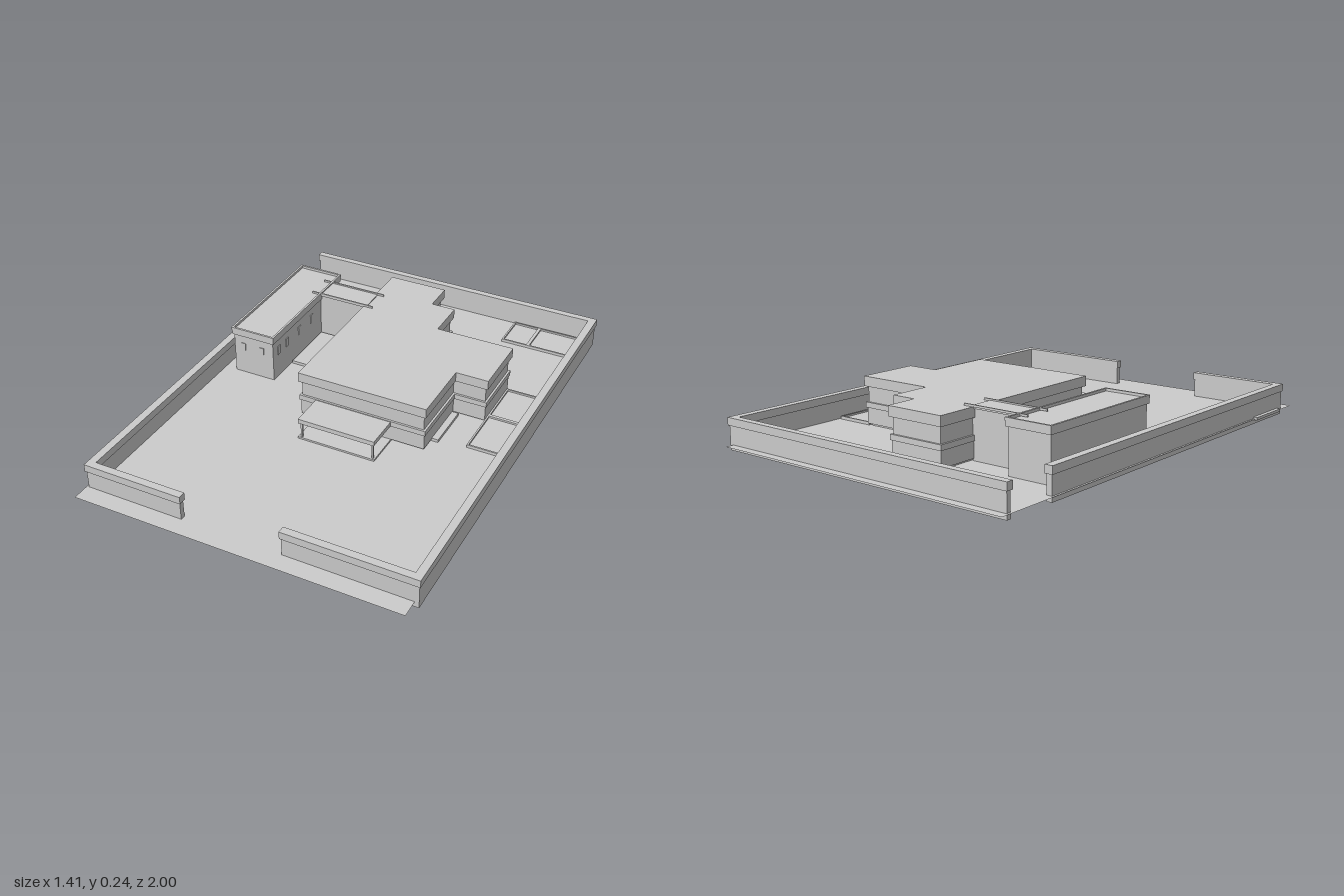
import * as THREE from 'three';

const mat = new THREE.MeshStandardMaterial({ color: 0xcccccc, flatShading: true });
const GROUND = 0.023;
const FOOT = 0.018; // footings reach just under the ground sheet

// Box given by its min and max on each axis
function box(parent, name, x0, x1, y0, y1, z0, z1) {
  const m = new THREE.Mesh(new THREE.BoxGeometry(x1 - x0, y1 - y0, z1 - z0), mat);
  m.position.set((x0 + x1) / 2, (y0 + y1) / 2, (z0 + z1) / 2);
  m.name = name;
  parent.add(m);
}

// Shrink a right-angled floor plan [x, z] by d
function inset(plan, d) {
  const n = plan.length;
  return plan.map((p, i) => {
    const a = plan[(i + n - 1) % n], b = plan[(i + 1) % n];
    let [x, z] = p;
    for (const [s, e] of [[a, p], [p, b]]) {
      x -= Math.sign(e[1] - s[1]) * d;
      z += Math.sign(e[0] - s[0]) * d;
    }
    return [x, z];
  });
}

// Floor plan raised from y0 to y1
function storey(parent, name, plan, y0, y1) {
  const shape = new THREE.Shape(plan.map(([x, z]) => new THREE.Vector2(x, -z)));
  const g = new THREE.ExtrudeGeometry(shape, { depth: y1 - y0, bevelEnabled: false });
  g.rotateX(-Math.PI / 2);
  const m = new THREE.Mesh(g, mat);
  m.position.y = y0;
  m.name = name;
  parent.add(m);
}

// Thin raised rim around a rectangle
function rim(parent, name, x0, x1, y0, y1, z0, z1, t) {
  box(parent, name, x0, x1, y0, y1, z0, z0 + t);
  box(parent, name, x0, x1, y0, y1, z1 - t, z1);
  box(parent, name, x0, x0 + t, y0, y1, z0 + t, z1 - t);
  box(parent, name, x1 - t, x1, y0, y1, z0 + t, z1 - t);
}

function group(parent, name) {
  const g = new THREE.Group();
  g.name = name;
  parent.add(g);
  return g;
}

export function createModel() {
  const model = new THREE.Group();
  model.name = 'walledBuilding';

  // Ground sheet, slightly above the foot of the boundary walls
  const sheet = new THREE.PlaneGeometry(1.385, 2).rotateX(-Math.PI / 2);
  const ground = new THREE.Mesh(sheet, mat.clone());
  ground.material.side = THREE.DoubleSide;
  ground.position.set(-0.007, GROUND, 0);
  ground.name = 'ground';
  model.add(ground);

  // Boundary walls with a wider coping, open at the front gate and rear left
  const fence = group(model, 'boundaryWalls');
  const walls = [
    [-0.695, 0.707, -0.968, -0.938],
    [0.674, 0.707, -0.968, 0.929],
    [-0.695, -0.662, -0.728, 0.929],
    [-0.695, -0.263, 0.897, 0.929],
    [0.155, 0.707, 0.897, 0.929],
  ];
  for (const [x0, x1, z0, z1] of walls) {
    box(fence, 'wall', x0 + 0.005, x1 - 0.005, 0, 0.1, z0 + 0.005, z1 - 0.005);
    box(fence, 'coping', x0, x1, 0.1, 0.132, z0, z1);
  }
  box(fence, 'sideStep', -0.707, -0.69, FOOT, 0.03, 0.68, 0.89);

  // Main building: stacked storeys following one stepped plan
  const main = group(model, 'mainBuilding');
  const plan = [
    [-0.203, -0.74], [0.058, -0.74], [0.058, -0.602], [0.165, -0.602], [0.165, -0.422],
    [0.509, -0.422], [0.509, -0.147], [0.368, -0.147], [0.368, 0.145], [-0.203, 0.145],
  ];
  storey(main, 'plinth', inset(plan, 0.02), GROUND, 0.032);
  storey(main, 'lowerWall', inset(plan, 0.008), 0.032, 0.1);
  storey(main, 'floorBand', inset(plan, 0.003), 0.1, 0.123);
  storey(main, 'upperWall', inset(plan, 0.012), 0.123, 0.19);
  storey(main, 'roof', plan, 0.19, 0.232);
  box(main, 'sideLedge', 0.35, 0.388, FOOT, 0.036, -0.147, 0.06);

  // Front porch
  const porch = group(model, 'porch');
  box(porch, 'porchFloor', -0.128, 0.214, FOOT, 0.031, 0.13, 0.288);
  box(porch, 'canopy', -0.125, 0.214, 0.1, 0.12, 0.13, 0.291);
  for (const x of [-0.118, 0.199]) box(porch, 'post', x, x + 0.008, 0.031, 0.1, 0.274, 0.282);
  for (const x of [0.035, 0.088])
    for (const y of [0.036, 0.065]) box(porch, 'doorPane', x, x + 0.028, y, y + 0.026, 0.132, 0.14);

  // Annex with rimmed roof and small windows
  const annex = group(model, 'annex');
  box(annex, 'annexWalls', -0.614, -0.425, FOOT, 0.207, -0.63, -0.031);
  box(annex, 'annexRoof', -0.62, -0.418, 0.207, 0.23, -0.638, -0.024);
  rim(annex, 'roofRim', -0.622, -0.416, 0.228, 0.241, -0.64, -0.022, 0.009);
  for (const z of [-0.38, -0.27, -0.16, -0.09])
    box(annex, 'annexWindow', -0.428, -0.422, 0.13, 0.17, z, z + 0.02);
  for (const x of [-0.58, -0.49]) box(annex, 'annexWindow', x, x + 0.02, 0.13, 0.17, -0.034, -0.028);

  // Link between annex and main building
  const link = group(model, 'link');
  box(link, 'linkWall', -0.43, -0.19, FOOT, 0.225, -0.552, -0.46);
  box(link, 'linkRoof', -0.42, -0.19, 0.225, 0.235, -0.562, -0.45);
  for (const z of [-0.566, -0.452]) box(link, 'beam', -0.46, -0.161, 0.232, 0.241, z, z + 0.006);
  box(link, 'terrace', -0.42, -0.19, FOOT, 0.036, -0.45, -0.183);

  // Kerbed planting beds
  const beds = group(model, 'plantingBeds');
  const plots = [
    [0.335, 0.457, -0.933, -0.768], [0.457, 0.67, -0.933, -0.768],
    [0.502, 0.67, -0.408, -0.193], [0.502, 0.67, -0.193, 0.037],
  ];
  for (const [x0, x1, z0, z1] of plots) {
    box(beds, 'soil', x0 + 0.004, x1 - 0.004, FOOT, 0.028, z0 + 0.004, z1 - 0.004);
    rim(beds, 'kerb', x0, x1, FOOT, 0.036, z0, z1, 0.007);
  }
  return model;
}
